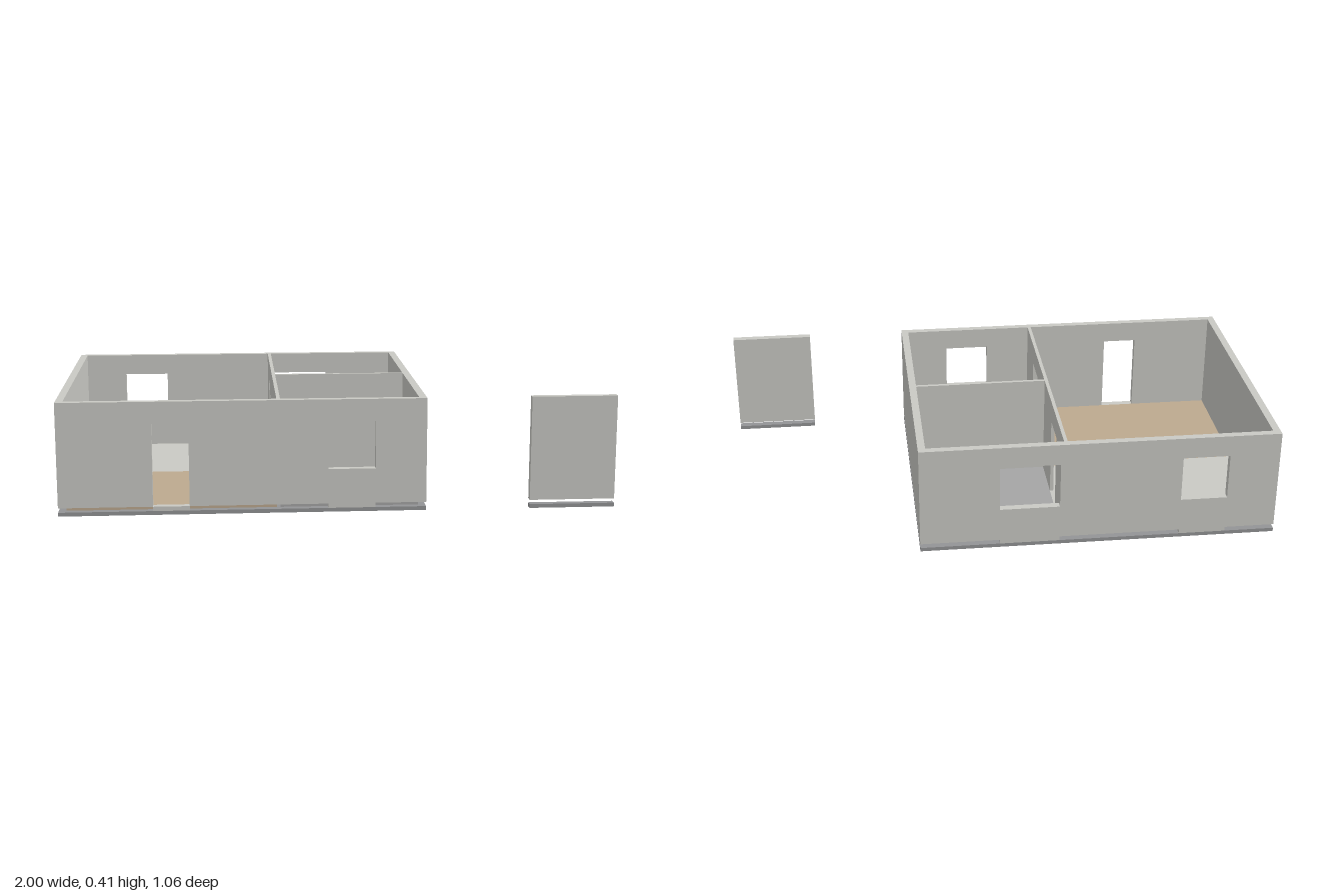
import * as THREE from 'three';

const SLAB_TOP = 0.014, FLOOR_TOP = 0.03, WALL_TOP = 0.41;
const SILL = 0.157, HEAD = 0.33;   // opening heights
const T = 0.027, THIN = 0.013;     // outer and inner wall thickness
const X0 = -1, X1 = 0.313, Z = 0.53;

export function createModel() {
  const model = new THREE.Group();
  model.name = 'floorPlanHouse';

  const mat = (name, color) => {
    const m = new THREE.MeshStandardMaterial({ color });
    m.name = name;
    return m;
  };
  const wallMat = mat('plaster', 0xc9c9c4);
  const woodMat = mat('wood', 0xbca98f);
  const tileMat = mat('tile', 0xa5a5a5);
  const slabMat = mat('concrete', 0x939496);

  // Box given by its minimum and maximum corners
  const box = (name, material, [ax, ay, az], [bx, by, bz], parent = model) => {
    const mesh = new THREE.Mesh(new THREE.BoxGeometry(bx - ax, by - ay, bz - az), material);
    mesh.position.set((ax + bx) / 2, (ay + by) / 2, (az + bz) / 2);
    mesh.name = name;
    parent.add(mesh);
  };

  // Upright wall along local x from a to b, with door notches and window holes;
  // each opening also has a threshold block that reaches down to the slab
  const wall = (name, a, b, depth, { doors = [], windows = [] } = {}) => {
    const group = new THREE.Group();
    group.name = name;
    const shape = new THREE.Shape();
    shape.moveTo(a, FLOOR_TOP);
    for (const [l, r] of doors) {
      shape.lineTo(l, FLOOR_TOP);
      shape.lineTo(l, HEAD);
      shape.lineTo(r, HEAD);
      shape.lineTo(r, FLOOR_TOP);
    }
    shape.lineTo(b, FLOOR_TOP);
    shape.lineTo(b, WALL_TOP);
    shape.lineTo(a, WALL_TOP);
    shape.closePath();
    for (const [l, r] of windows) {
      const hole = new THREE.Path();
      hole.moveTo(l, SILL);
      hole.lineTo(l, HEAD);
      hole.lineTo(r, HEAD);
      hole.lineTo(r, SILL);
      hole.closePath();
      shape.holes.push(hole);
    }
    const panel = new THREE.Mesh(
      new THREE.ExtrudeGeometry(shape, { depth, bevelEnabled: false }), wallMat);
    panel.name = name + 'Panel';
    group.add(panel);
    for (const [l, r] of [...doors, ...windows]) {
      box('threshold', wallMat, [l, SLAB_TOP, 0], [r, FLOOR_TOP, depth], group);
    }
    model.add(group);
    return group;
  };

  // Foundation slab
  box('foundation', slabMat, [X0, 0, -Z], [X1, SLAB_TOP, Z]);

  // Room floors
  const inX0 = X0 + T, inX1 = X1 - T, inZ = Z - T;
  const divL = -0.223, divR = divL + THIN;
  box('backHallFloor', wallMat, [inX0, SLAB_TOP, -inZ], [divL, FLOOR_TOP, 0]);
  box('frontHallFloor', woodMat, [inX0, SLAB_TOP, 0], [divL, FLOOR_TOP, inZ]);
  box('backRoomFloor', tileMat, [divR, SLAB_TOP, -inZ], [inX1, FLOOR_TOP, -THIN / 2]);
  box('frontRoomFloor', tileMat, [divR, SLAB_TOP, THIN / 2], [inX1, FLOOR_TOP, inZ]);

  // Outer walls
  wall('frontWall', X0, X1, T, { doors: [[-0.665, -0.535]], windows: [[-0.04, 0.13]] })
    .position.z = inZ;
  wall('backWall', X0, X1, T, { windows: [[-0.815, -0.643], [-0.197, 0.022]] })
    .position.z = -Z;
  for (const [name, x] of [['rightWall', X0], ['leftWall', inX1]]) {
    const side = wall(name, -inZ, inZ, T);
    side.rotation.y = -Math.PI / 2;   // local x becomes +z, depth becomes -x
    side.position.x = x + T;
  }

  // Inner walls: divider with two doorways, and the wall between the two rooms
  const divider = wall('dividerWall', -inZ, inZ, THIN, { doors: [[-0.325, -0.197], [0.19, 0.318]] });
  divider.rotation.y = -Math.PI / 2;
  divider.position.x = divR;
  wall('roomWall', divR, inX1, THIN).position.z = -THIN / 2;

  // Detached wall panel with its own footing
  wall('loosePanel', 0.69, 1, T).position.z = inZ;
  box('panelFooting', slabMat, [0.69, 0, inZ], [1, SLAB_TOP, Z]);

  return model;
}
